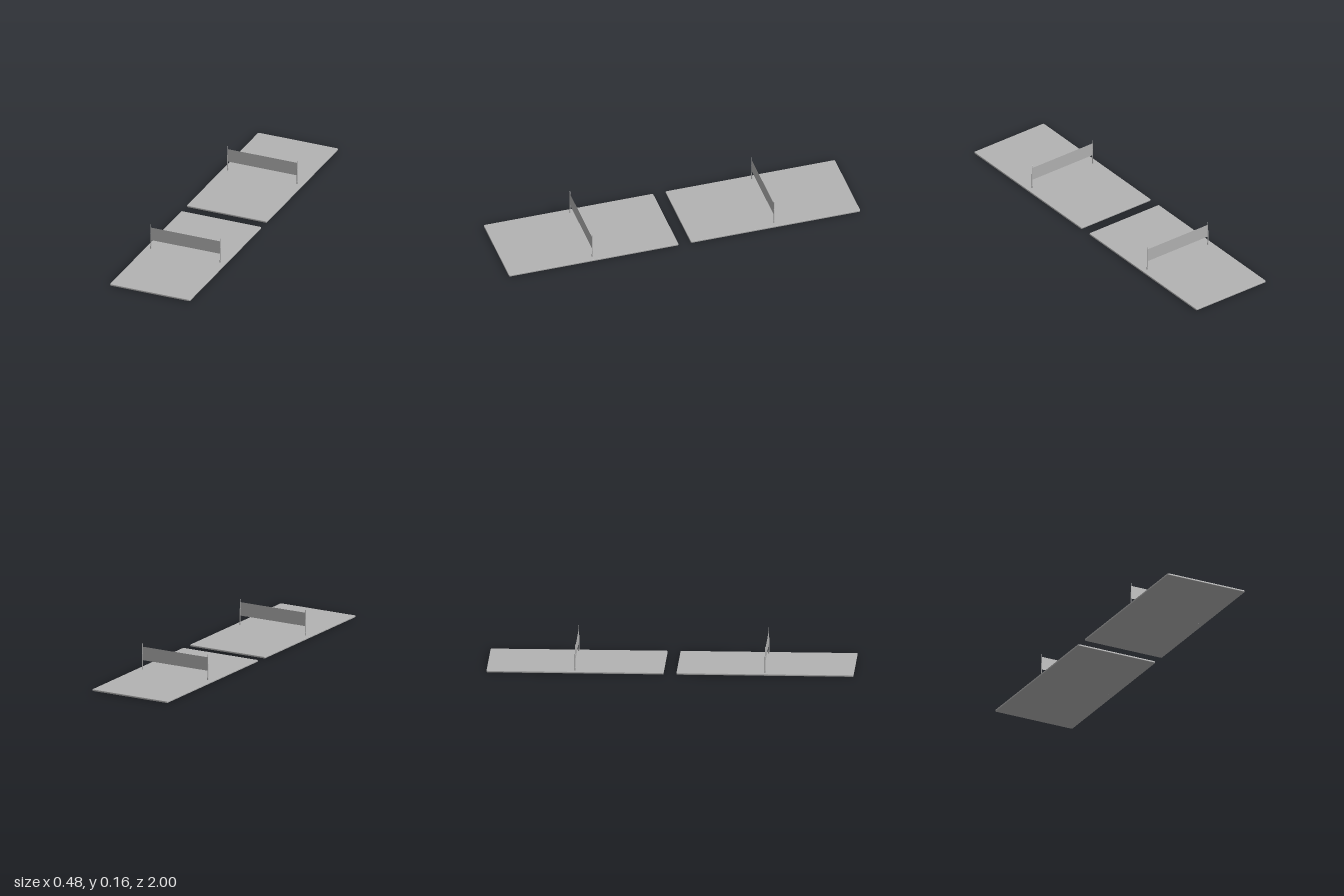
import * as THREE from 'three';

const grey = new THREE.MeshStandardMaterial({ color: 0xb2b2b2 });
grey.name = 'grey';
const netGrey = new THREE.MeshStandardMaterial({ color: 0xb2b2b2, side: THREE.DoubleSide });
netGrey.name = 'net grey';

const HALF_W = 0.238, HALF_L = 0.4825, COURT_Z = 0.5175, TOP = 0.01;
const POST_X = 0.207, POST_TOP = 0.155;

function add(parent, name, geometry, material, x = 0, y = 0, z = 0) {
  const mesh = new THREE.Mesh(geometry, material);
  mesh.name = name;
  mesh.position.set(x, y, z);
  parent.add(mesh);
  return mesh;
}

// Rounded rectangle slab with bevelled rims, lying flat
function slabGeometry() {
  const bevel = 0.002, w = HALF_W - bevel, l = HALF_L - bevel, r = 0.005;
  const s = new THREE.Shape();
  s.moveTo(-w + r, -l);
  s.lineTo(w - r, -l);
  s.absarc(w - r, -l + r, r, -Math.PI / 2, 0);
  s.absarc(w - r, l - r, r, 0, Math.PI / 2);
  s.absarc(-w + r, l - r, r, Math.PI / 2, Math.PI);
  s.absarc(-w + r, -l + r, r, Math.PI, Math.PI * 1.5);
  const g = new THREE.ExtrudeGeometry(s, {
    depth: TOP - 2 * bevel - 0.0003, bevelEnabled: true, bevelThickness: bevel,
    bevelSize: bevel, bevelSegments: 2, curveSegments: 4,
  });
  g.rotateX(-Math.PI / 2);
  g.translate(0, bevel + 0.0003, 0);
  return g;
}

// Post tapering in steps from a foot collar to a thin tip
function postGeometry() {
  const profile = [
    [0, 0], [0.0035, 0], [0.0035, 0.024], [0.0028, 0.026], [0.0026, 0.1],
    [0.002, 0.101], [0.002, POST_TOP - 0.001], [0.0012, POST_TOP], [0, POST_TOP],
  ].map(([r, y]) => new THREE.Vector2(r, y));
  const g = new THREE.LatheGeometry(profile, 12).toNonIndexed();
  g.computeVertexNormals();
  return g;
}

export function createModel() {
  const model = new THREE.Group();
  model.name = 'pairOfCourts';
  const slab = slabGeometry(), post = postGeometry();
  const net = new THREE.PlaneGeometry(2 * POST_X, 0.076);

  for (const side of [1, -1]) {
    const court = new THREE.Group();
    court.name = side > 0 ? 'frontCourt' : 'backCourt';
    court.position.z = side * COURT_Z;
    model.add(court);
    add(court, 'courtSlab', slab, grey);
    add(court, 'leftPost', post, grey, POST_X);
    add(court, 'rightPost', post, grey, -POST_X);
    add(court, 'net', net, netGrey, 0, 0.1);
  }
  return model;
}
